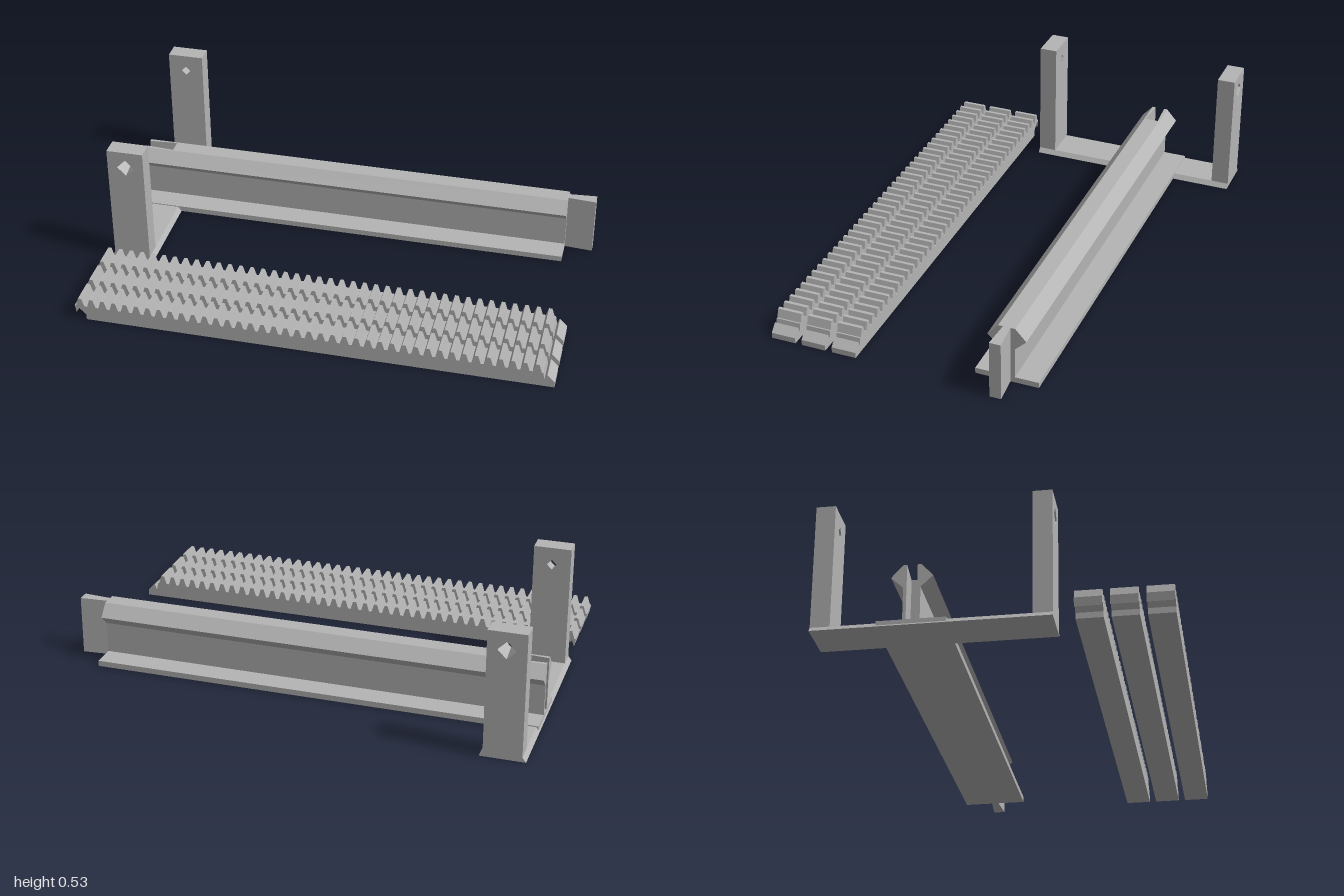
import * as THREE from 'three';

const RAIL_Z = -0.295, RAIL_START = -0.995, SOCKET_END = -0.873, RAIL_END = 0.882;

const grey = new THREE.MeshStandardMaterial({ color: 0xb4b4b4 });
grey.name = 'plain grey';

const shapeOf = pts => new THREE.Shape(pts.map(([x, y]) => new THREE.Vector2(x, y)));
const extrude = (shape, depth) => new THREE.ExtrudeGeometry(shape, { depth, bevelEnabled: false });

function part(group, name, geometry, x = 0, y = 0, z = 0) {
  const mesh = new THREE.Mesh(geometry, grey);
  mesh.name = name;
  mesh.position.set(x, y, z);
  group.add(mesh);
  return mesh;
}

// Move vertices of a geometry by a rule, then refresh the flat normals
function reshape(geometry, rule) {
  const p = geometry.attributes.position, v = new THREE.Vector3();
  for (let i = 0; i < p.count; i++) {
    rule(v.fromBufferAttribute(p, i));
    p.setXYZ(i, v.x, v.y, v.z);
  }
  geometry.computeVertexNormals();
  return geometry;
}

// Rail: flat foot, web with diamond head, dovetail tongue and socket
function buildRail() {
  const rail = new THREE.Group();
  rail.name = 'rail';
  const foot = new THREE.BoxGeometry(RAIL_END - RAIL_START, 0.024, 0.264);
  part(rail, 'railFoot', foot, (RAIL_START + RAIL_END) / 2, 0.012, 0);

  const side = [[0.033, 0.024], [0.033, 0.155], [0.08, 0.2], [0.035, 0.25]];
  const mirrored = side.map(([s, y]) => [-s, y]).reverse();
  const body = extrude(shapeOf([...side, ...mirrored]), RAIL_END - SOCKET_END);
  part(rail, 'railHead', body.rotateY(Math.PI / 2), SOCKET_END);

  // Socket cheeks: the slot widens away from the rail's end
  const length = SOCKET_END - RAIL_START;
  for (const s of [1, -1]) {
    const pts = [[0, 0.024], ...side, [0, 0.25]].map(([u, y]) => [u * s, y]);
    const cheek = reshape(extrude(shapeOf(pts), length), v => {
      if (Math.abs(v.x) < 1e-5) v.x = s * (0.02 + 0.009 * v.z / length);
    });
    part(rail, 'socketCheek', cheek.rotateY(Math.PI / 2), RAIL_START);
  }

  const tongue = shapeOf([[RAIL_END, -0.015], [1, -0.024], [1, 0.024], [RAIL_END, 0.015]]);
  part(rail, 'dovetailTongue', extrude(tongue, 0.25).rotateX(-Math.PI / 2));
  rail.position.z = RAIL_Z;
  return rail;
}

// Upright with a diamond hole that flares towards its outer face
function postGeometry(outerIsFront) {
  const cx = -0.907, cy = 0.46, r = 0.021, depth = 0.076;
  const shape = shapeOf([[-0.985, 0.01], [-0.83, 0.01], [-0.83, 0.534], [-0.985, 0.534]]);
  shape.holes.push(new THREE.Path([[r, 0], [0, -r], [-r, 0], [0, r]]
    .map(([x, y]) => new THREE.Vector2(cx + x, cy + y))));
  return reshape(extrude(shape, depth), v => {
    const inHole = Math.hypot(v.x - cx, v.y - cy) < r * 1.1;
    if (inHole && (v.z > depth / 2) === outerIsFront) {
      v.x = cx + (v.x - cx) * 1.75;
      v.y = cy + (v.y - cy) * 1.75;
    }
  });
}

// Toothed strip with interlocking ends
function rackGeometry() {
  const teeth = 40, start = -1, pitch = 0.048, valley = 0.064, peak = 0.1;
  const hook = [[0, valley], [0.006, 0.03], [0.016, 0.055], [0.047, 0.024], [0.047, 0]];
  const end = start + teeth * pitch;
  const pts = hook.map(([x, y]) => [start + x, y]).reverse();
  for (let i = 0; i < teeth; i++) {
    const x = start + i * pitch;
    pts.push([x + 0.006, valley], [x + 0.017, peak], [x + 0.031, peak], [x + 0.042, valley]);
  }
  pts.push(...hook.map(([x, y]) => [end + x, y]));
  return extrude(shapeOf(pts.reverse()), 0.104);
}

export function createModel() {
  const model = new THREE.Group();
  model.name = 'railAndRackKit';
  model.add(buildRail());

  // Cross foot with sloping long edges
  const foot = shapeOf([[-1, 0], [-0.815, 0], [-0.83, 0.02], [-0.985, 0.02]]);
  part(model, 'crossFoot', extrude(foot, 0.912), 0, 0, -0.68);

  part(model, 'frontPost', postGeometry(true), 0, 0, 0.156);
  part(model, 'backPost', postGeometry(false), 0, 0, -0.68);

  // Three loose racks side by side
  const rack = rackGeometry();
  for (let i = 0; i < 3; i++) part(model, 'toothedRack', rack, 0, 0, 0.309 + i * 0.1325);
  return model;
}
